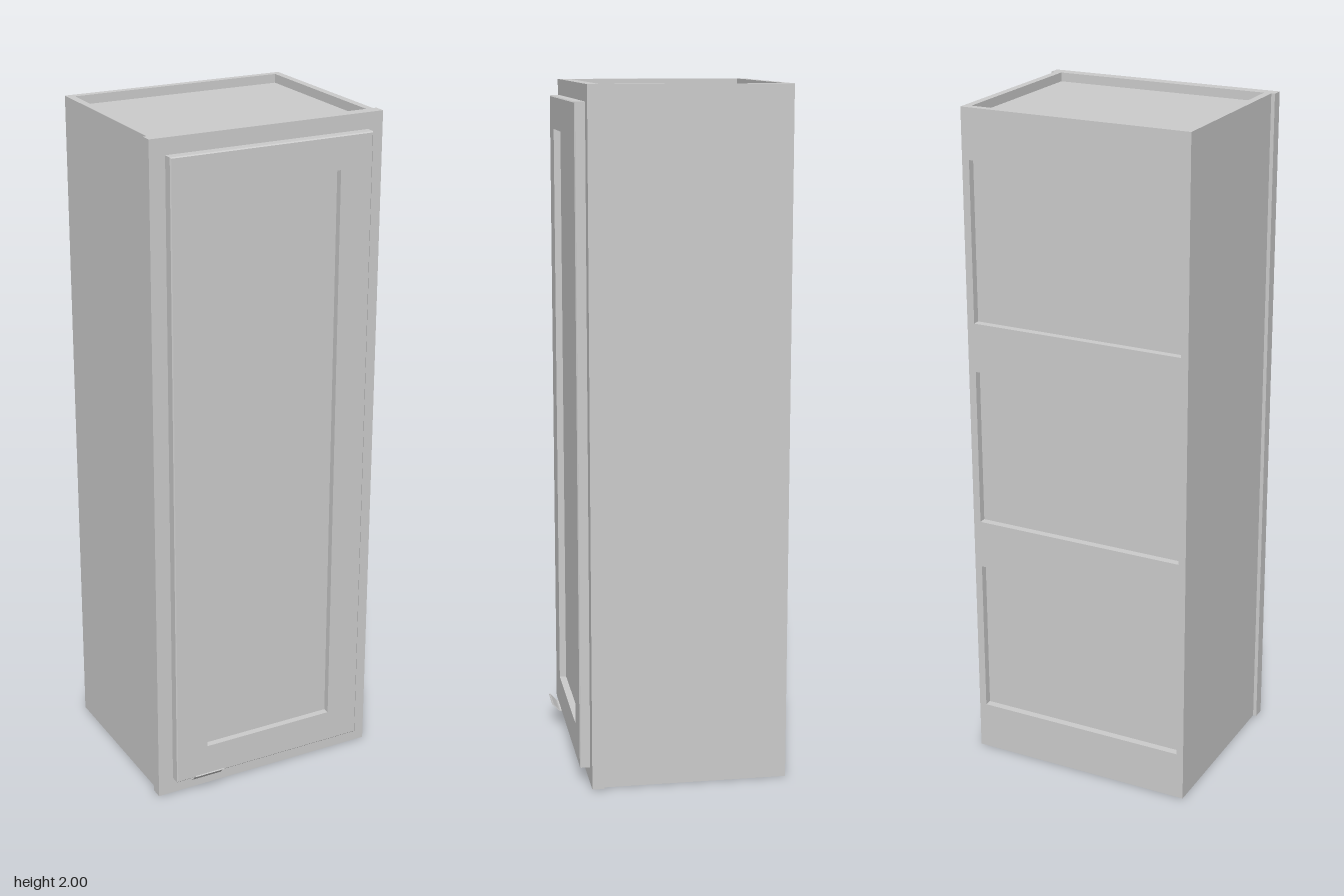
import * as THREE from 'three';

const material = new THREE.MeshStandardMaterial({ color: 0xcccccc, flatShading: true });

// Key dimensions
const H = 2, BODY = 0.345, BACK = -0.317, FRAME_Z = 0.219, DOOR_Z = 0.254, DOOR_FRONT = 0.284;
const T = 0.022, LIP = 0.026;

export function createModel() {
  const model = new THREE.Group();
  model.name = 'wallCabinet';

  const add = (parent, name, geometry) => {
    const mesh = new THREE.Mesh(geometry, material);
    mesh.name = name;
    parent.add(mesh);
    return mesh;
  };

  // Box given by its minimum and maximum on each axis
  const box = (parent, name, x0, x1, y0, y1, z0, z1) => {
    const mesh = add(parent, name, new THREE.BoxGeometry(x1 - x0, y1 - y0, z1 - z0));
    mesh.position.set((x0 + x1) / 2, (y0 + y1) / 2, (z0 + z1) / 2);
    return mesh;
  };

  const rectangle = (Kind, hw, y0, y1) => new Kind([
    new THREE.Vector2(-hw, y0), new THREE.Vector2(hw, y0),
    new THREE.Vector2(hw, y1), new THREE.Vector2(-hw, y1),
  ]);

  // Rectangular plate with rectangular openings, each [halfWidth, y0, y1]
  const plate = (outer, holes, z0, z1) => {
    const shape = rectangle(THREE.Shape, ...outer);
    holes.forEach((h) => shape.holes.push(rectangle(THREE.Path, ...h)));
    const geometry = new THREE.ExtrudeGeometry(shape, { depth: z1 - z0, bevelEnabled: false });
    return geometry.translate(0, 0, z0);
  };

  // Carcass: sides, recessed top and bottom, shelves
  const carcass = new THREE.Group();
  carcass.name = 'carcass';
  model.add(carcass);
  const inner = BODY - T;
  box(carcass, 'rightSide', -BODY, -inner, 0, H, BACK, FRAME_Z);
  box(carcass, 'leftSide', inner, BODY, 0, H, BACK, FRAME_Z);
  box(carcass, 'topPanel', -inner, inner, H - LIP - T, H - LIP, BACK + T, FRAME_Z);
  box(carcass, 'bottomPanel', -inner, inner, LIP, LIP + T, BACK + T, FRAME_Z);
  for (const y of [0.69, 1.31]) {
    box(carcass, 'shelf', -inner, inner, y - T / 2, y + T / 2, BACK + 0.04, FRAME_Z - 0.02);
  }

  // Back: four rails in front of a recessed panel
  const rail = 0.146, pitch = (H - rail) / 3;
  for (let i = 0; i < 4; i++) {
    box(carcass, 'backRail', -inner, inner, i * pitch, i * pitch + rail, BACK, BACK + T);
  }
  box(carcass, 'backPanel', -inner, inner, LIP + T, H - LIP - T, BACK + T, BACK + T + 0.012);

  // Face frame, slightly wider than the carcass
  add(model, 'faceFrame', plate([0.356, 0, H], [[0.28, 0.08, 1.92]], FRAME_Z, DOOR_Z));

  // Door: frame with eased front edge and a recessed panel
  const door = new THREE.Group();
  door.name = 'door';
  model.add(door);
  const dw = 0.309, y0 = 0.05, y1 = 1.953, ease = 0.003;
  const opening = [0.208, 0.148, 1.857];
  add(door, 'doorFrame', plate([dw, y0, y1], [opening], DOOR_Z, DOOR_FRONT - ease));
  const edge = plate([dw, y0, y1], [opening], DOOR_FRONT - ease, DOOR_FRONT);
  const p = edge.attributes.position;
  for (let i = 0; i < p.count; i++) {
    // Pull the outer corners of the front face inward
    if (p.getZ(i) > DOOR_FRONT - ease / 2 && Math.abs(p.getX(i)) > 0.3) {
      p.setX(i, p.getX(i) - Math.sign(p.getX(i)) * ease);
      p.setY(i, p.getY(i) + (p.getY(i) < 1 ? ease : -ease));
    }
  }
  edge.computeVertexNormals();
  add(door, 'doorEasedEdge', edge);
  box(door, 'doorPanel', -0.208, 0.208, 0.148, 1.857, DOOR_Z, DOOR_FRONT - 0.02);

  // Finger pull: thin curved strip from under the door, sweeping out and up
  const curve = new THREE.SplineCurve([
    [0.256, 0.0485], [0.284, 0.0495], [0.292, 0.053], [0.301, 0.063], [0.309, 0.072], [0.3125, 0.074],
  ].map(([z, y]) => new THREE.Vector2(z, y)));
  const upper = [], lower = [];
  for (let i = 0; i <= 20; i++) {
    const t = i / 20, c = curve.getPoint(t), d = curve.getTangent(t);
    const half = 0.0013 + 0.0012 * Math.max(0, t - 0.6);
    upper.push(new THREE.Vector2(c.x - d.y * half, c.y + d.x * half));
    lower.unshift(new THREE.Vector2(c.x + d.y * half, c.y - d.x * half));
  }
  const pull = new THREE.ExtrudeGeometry(new THREE.Shape([...upper, ...lower]), { depth: 0.094, bevelEnabled: false });
  // Turn the profile so its first axis points to the front
  pull.rotateY(-Math.PI / 2).translate(-0.168, 0, 0);
  add(door, 'fingerPull', pull);

  return model;
}
